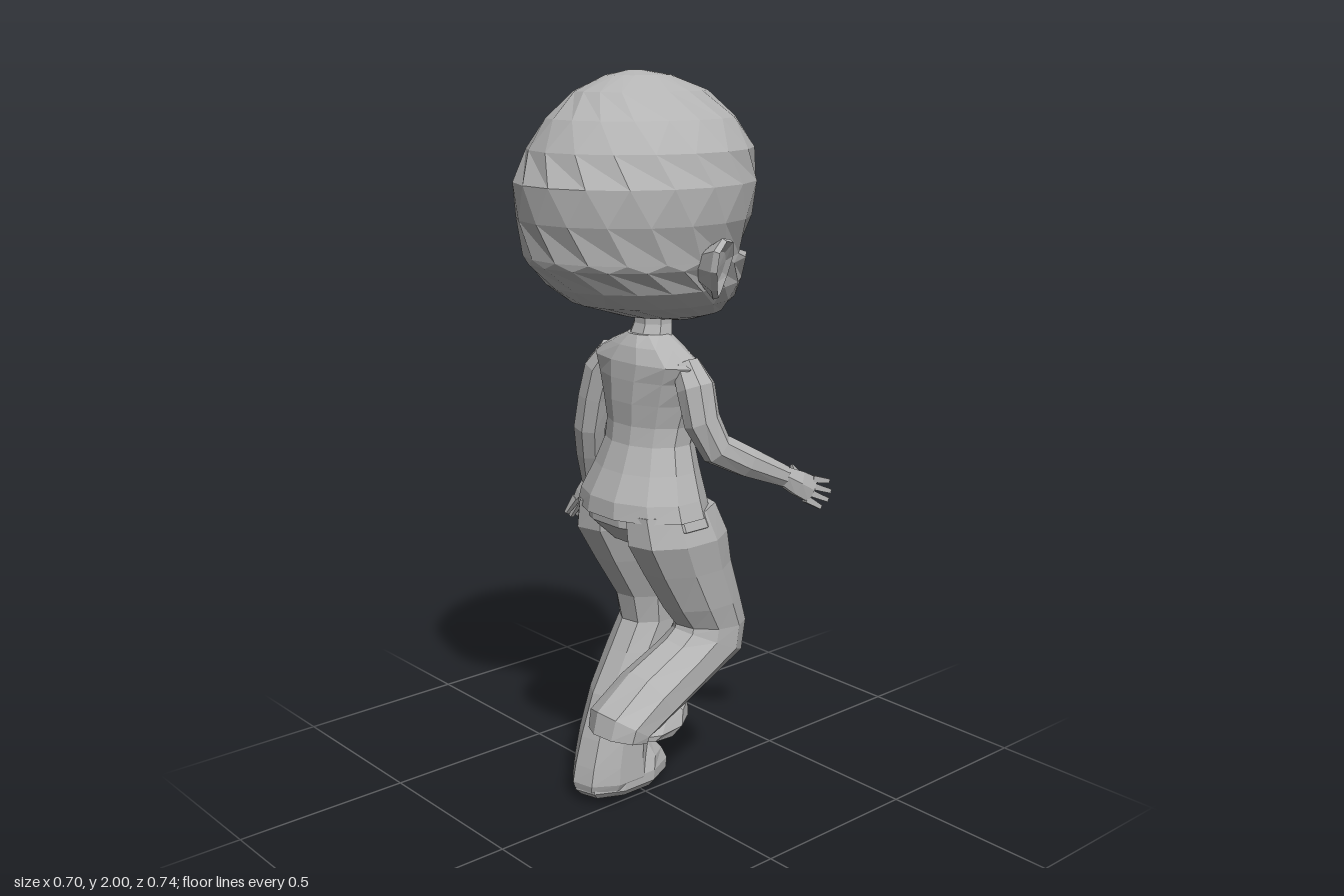
import * as THREE from 'three';

const clay = new THREE.MeshStandardMaterial({ color: 0xb4b4b4, flatShading: true });
clay.name = 'clay grey';

const V = (x, y, z) => new THREE.Vector3(x, y, z);
const centre = (ring) => ring.reduce((s, p) => s.add(p), V(0, 0, 0)).divideScalar(ring.length);

// Skin a list of equal-length rings and cap both ends
function loft(name, rings) {
  const n = rings[0].length, tris = [];
  for (let i = 0; i + 1 < rings.length; i++) {
    for (let j = 0; j < n; j++) {
      const k = (j + 1) % n, a = rings[i][j], b = rings[i][k], c = rings[i + 1][k], d = rings[i + 1][j];
      tris.push([a, b, c], [a, c, d]);
    }
  }
  const first = rings[0], last = rings[rings.length - 1], c0 = centre(first), c1 = centre(last);
  for (let j = 0; j < n; j++) {
    const k = (j + 1) % n;
    tris.push([c0, first[k], first[j]], [c1, last[j], last[k]]);
  }
  // Turn the faces outward whichever way the rings run
  const volume = tris.reduce((s, [a, b, c]) => s + a.clone().sub(c0).dot(b.clone().sub(c0).cross(c.clone().sub(c0))), 0);
  const pos = [];
  for (const [a, b, c] of tris) {
    for (const p of volume > 0 ? [a, b, c] : [a, c, b]) pos.push(p.x, p.y, p.z);
  }
  const g = new THREE.BufferGeometry();
  g.setAttribute('position', new THREE.Float32BufferAttribute(pos, 3));
  g.computeVertexNormals();
  const mesh = new THREE.Mesh(g, clay);
  mesh.name = name;
  return mesh;
}

// Ring of n points from a function of cosine and sine
function ring(n, f, phase = 0) {
  return Array.from({ length: n }, (_, j) => {
    const t = ((j + phase) / n) * Math.PI * 2;
    return f(Math.cos(t), Math.sin(t));
  });
}

// Sections: centre x, y, z, half width, half depth, tilt about x
function body(name, n, sections) {
  return loft(name, sections.map(([x, y, z, a, b, tilt = 0]) =>
    ring(n, (c, s) => V(x + a * c, y + b * s * Math.sin(tilt), z + b * s * Math.cos(tilt)), 0.5)));
}

// Limb along a path: x, y, z, broad radius, narrow radius
function limb(name, n, path) {
  const pts = path.map((p) => V(p[0], p[1], p[2]));
  return loft(name, path.map((p, i) => {
    const t = pts[Math.min(i + 1, pts.length - 1)].clone().sub(pts[Math.max(i - 1, 0)]).normalize();
    const u = t.clone().cross(V(1, 0, 0)).normalize(), v = t.clone().cross(u);
    return ring(n, (c, s) => pts[i].clone().addScaledVector(u, p[3] * c).addScaledVector(v, p[4] * s), 0.5);
  }));
}

// Palm, four fingers and a thumb
function hand(name, wrist, knuckle, tip, thumbTip) {
  const g = new THREE.Group();
  g.name = name;
  const mid = wrist.clone().lerp(knuckle, 0.5);
  g.add(limb('palm', 6, [
    [...wrist, 0.03, 0.024], [...mid, 0.038, 0.022], [...knuckle, 0.04, 0.014],
  ]));
  const dir = tip.clone().sub(knuckle);
  const across = dir.clone().cross(V(1, 0, 0)).normalize();
  for (let i = 0; i < 4; i++) {
    const off = (i - 1.5) * 0.019;
    const a = knuckle.clone().addScaledVector(across, off).addScaledVector(dir, -0.2);
    const b = knuckle.clone().addScaledVector(across, off * 1.3).addScaledVector(dir, i === 0 || i === 3 ? 0.75 : 1);
    g.add(limb('finger', 4, [[...a, 0.013, 0.015], [...b, 0.008, 0.007]]));
  }
  const t = mid.clone().lerp(thumbTip, 0.55);
  g.add(limb('thumb', 5, [[...mid, 0.024, 0.02], [...t, 0.017, 0.014], [...thumbTip, 0.006, 0.005]]));
  return g;
}

export function createModel() {
  const model = new THREE.Group();
  model.name = 'figure';

  // Head: y, half width, front z, back z, muzzle bulge
  const headRows = [
    [1.365, 0.06, -0.15, -0.03, 0], [1.385, 0.13, -0.215, 0.09, 0], [1.425, 0.195, -0.23, 0.22, 0.015],
    [1.47, 0.232, -0.225, 0.285, 0.04], [1.53, 0.258, -0.215, 0.342, 0.075], [1.548, 0.263, -0.225, 0.35, 0],
    [1.64, 0.284, -0.258, 0.366, 0], [1.73, 0.29, -0.278, 0.372, 0], [1.81, 0.268, -0.272, 0.335, 0],
    [1.885, 0.215, -0.228, 0.285, 0], [1.95, 0.145, -0.155, 0.215, 0], [1.988, 0.07, -0.05, 0.13, 0],
    [2.0, 0.015, 0.03, 0.07, 0],
  ];
  model.add(loft('head', headRows.map(([y, a, zf, zb, bulge], i) => ring(18, (c, s) => V(
    0.02 + a * c, y,
    (zf + zb) / 2 + ((zb - zf) / 2) * s - bulge * Math.max(0, -s) ** 3,
  ), i % 2 ? 0 : 0.5))));

  // Ears: flared cups, hollow on the outside
  const earRows = [[0.235, 0.6, 0], [0.285, 1, 0.035], [0.302, 0.92, 0.036], [0.282, 0.55, 0.015]];
  for (const side of [1, -1]) {
    model.add(loft(side > 0 ? 'leftEar' : 'rightEar', earRows.map(([h, k, flare]) => ring(9, (c, s) => V(
      0.02 + side * (h + flare * c + 0.018 * k * s),
      1.533 + 0.078 * k * s,
      0.025 + 0.062 * k * c * (1 + 0.25 * s),
    )))));
  }

  // Neck and torso
  model.add(body('neck', 8, [
    [0.02, 1.42, -0.01, 0.055, 0.05], [0.02, 1.36, -0.01, 0.057, 0.05], [0.02, 1.29, 0.01, 0.075, 0.06],
  ]));
  model.add(body('torso', 12, [
    [0.02, 1.335, 0.005, 0.06, 0.055], [0.02, 1.305, 0.01, 0.125, 0.07], [0.02, 1.265, 0.01, 0.195, 0.085],
    [0.02, 1.22, -0.005, 0.175, 0.105], [0.02, 1.16, -0.015, 0.155, 0.118], [0.02, 1.1, -0.008, 0.137, 0.108],
    [0.02, 1.05, 0.003, 0.135, 0.104], [0.02, 0.98, 0.013, 0.16, 0.123], [0.02, 0.91, 0.025, 0.19, 0.147],
    [0.02, 0.865, 0.025, 0.205, 0.153],
  ]));
  model.add(body('pelvis', 12, [
    [0.02, 0.9, 0.02, 0.188, 0.14], [0.02, 0.84, 0.012, 0.208, 0.148], [0.02, 0.78, 0.0, 0.12, 0.1],
  ]));

  // Standing leg with flared trousers and foot
  model.add(body('standingLeg', 9, [
    [-0.075, 0.88, 0.015, 0.095, 0.14], [-0.088, 0.8, 0.0, 0.108, 0.152], [-0.085, 0.7, -0.035, 0.096, 0.13],
    [-0.085, 0.58, -0.085, 0.086, 0.105], [-0.087, 0.5, -0.09, 0.082, 0.09], [-0.09, 0.42, -0.045, 0.085, 0.085],
    [-0.093, 0.3, 0.0, 0.09, 0.103], [-0.095, 0.18, 0.035, 0.092, 0.108], [-0.095, 0.1, 0.045, 0.094, 0.12],
    [-0.095, 0.05, 0.045, 0.095, 0.13], [-0.095, 0.03, 0.05, 0.085, 0.12],
  ]));
  model.add(body('standingFoot', 9, [
    [-0.09, 0.14, -0.015, 0.055, 0.06], [-0.09, 0.09, -0.02, 0.075, 0.1], [-0.092, 0.055, 0.012, 0.09, 0.155],
    [-0.092, 0.025, 0.015, 0.09, 0.155], [-0.092, 0.005, 0.015, 0.075, 0.135],
  ]));

  // Raised leg, bent back at the knee
  model.add(body('raisedLeg', 9, [
    [0.115, 0.88, 0.015, 0.095, 0.14], [0.127, 0.8, 0.0, 0.108, 0.155], [0.127, 0.71, -0.035, 0.098, 0.138],
    [0.127, 0.6, -0.088, 0.09, 0.122], [0.125, 0.53, -0.125, 0.083, 0.113, 0.1], [0.125, 0.48, -0.115, 0.085, 0.118, 0.45],
    [0.123, 0.43, -0.025, 0.088, 0.088, 1.05], [0.123, 0.37, 0.1, 0.094, 0.088, 1.03],
    [0.125, 0.318, 0.195, 0.096, 0.08, 0.6], [0.125, 0.288, 0.2, 0.09, 0.078, 0.22],
  ]));
  model.add(body('raisedFoot', 9, [
    [0.125, 0.36, 0.08, 0.055, 0.06], [0.125, 0.325, 0.06, 0.07, 0.085, -0.15],
    [0.125, 0.288, 0.08, 0.082, 0.105, -0.1], [0.125, 0.265, 0.1, 0.07, 0.09, 0.05],
  ]));

  // Arm reaching forward
  model.add(limb('reachingArm', 8, [
    [0.165, 1.27, 0.005, 0.04, 0.035], [0.203, 1.215, 0.005, 0.055, 0.046], [0.222, 1.13, 0.0, 0.052, 0.042],
    [0.24, 1.055, -0.035, 0.046, 0.042], [0.262, 1.01, -0.12, 0.042, 0.038], [0.29, 0.955, -0.235, 0.03, 0.025],
  ]));
  model.add(hand('reachingHand', V(0.29, 0.955, -0.235), V(0.317, 0.908, -0.315), V(0.333, 0.886, -0.365), V(0.22, 0.95, -0.338)));

  // Arm hanging at the side
  model.add(limb('hangingArm', 8, [
    [-0.125, 1.27, 0.005, 0.04, 0.035], [-0.163, 1.215, 0.01, 0.055, 0.046], [-0.19, 1.13, 0.015, 0.052, 0.045],
    [-0.216, 1.04, 0.015, 0.048, 0.045], [-0.238, 0.96, -0.005, 0.044, 0.04], [-0.265, 0.865, -0.03, 0.032, 0.026],
  ]));
  model.add(hand('hangingHand', V(-0.265, 0.865, -0.03), V(-0.307, 0.795, -0.028), V(-0.338, 0.742, -0.022), V(-0.24, 0.79, -0.07)));

  return model;
}
